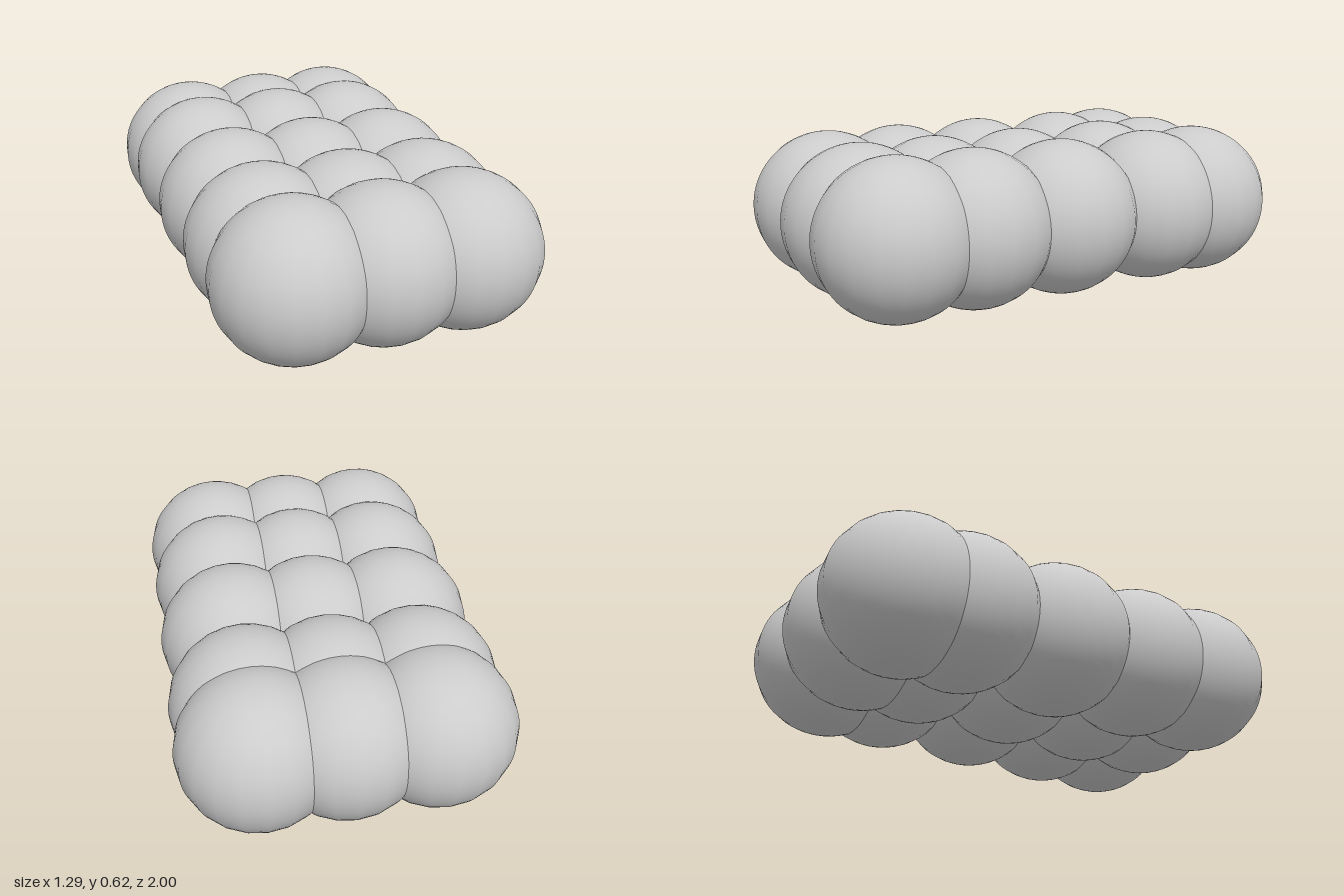
import * as THREE from 'three';

// A flat raft of overlapping balls: three columns by five rows
export function createModel() {
  const model = new THREE.Group();
  model.name = 'ballRaft';

  const radius = 0.308;
  const columns = [-0.338, 0.01, 0.337];
  const rows = [0.692, 0.372, -0.02, -0.446, -0.692];

  const ballGeometry = new THREE.SphereGeometry(radius, 20, 40);
  const material = new THREE.MeshStandardMaterial({ color: 0xcccccc });

  rows.forEach((z, r) => {
    const row = new THREE.Group();
    row.name = `ballRow${r + 1}`;
    row.position.set(0, radius, z);
    columns.forEach((x, c) => {
      const ball = new THREE.Mesh(ballGeometry, material);
      ball.name = `ball${r + 1}_${c + 1}`;
      ball.position.x = x;
      row.add(ball);
    });
    model.add(row);
  });

  return model;
}
